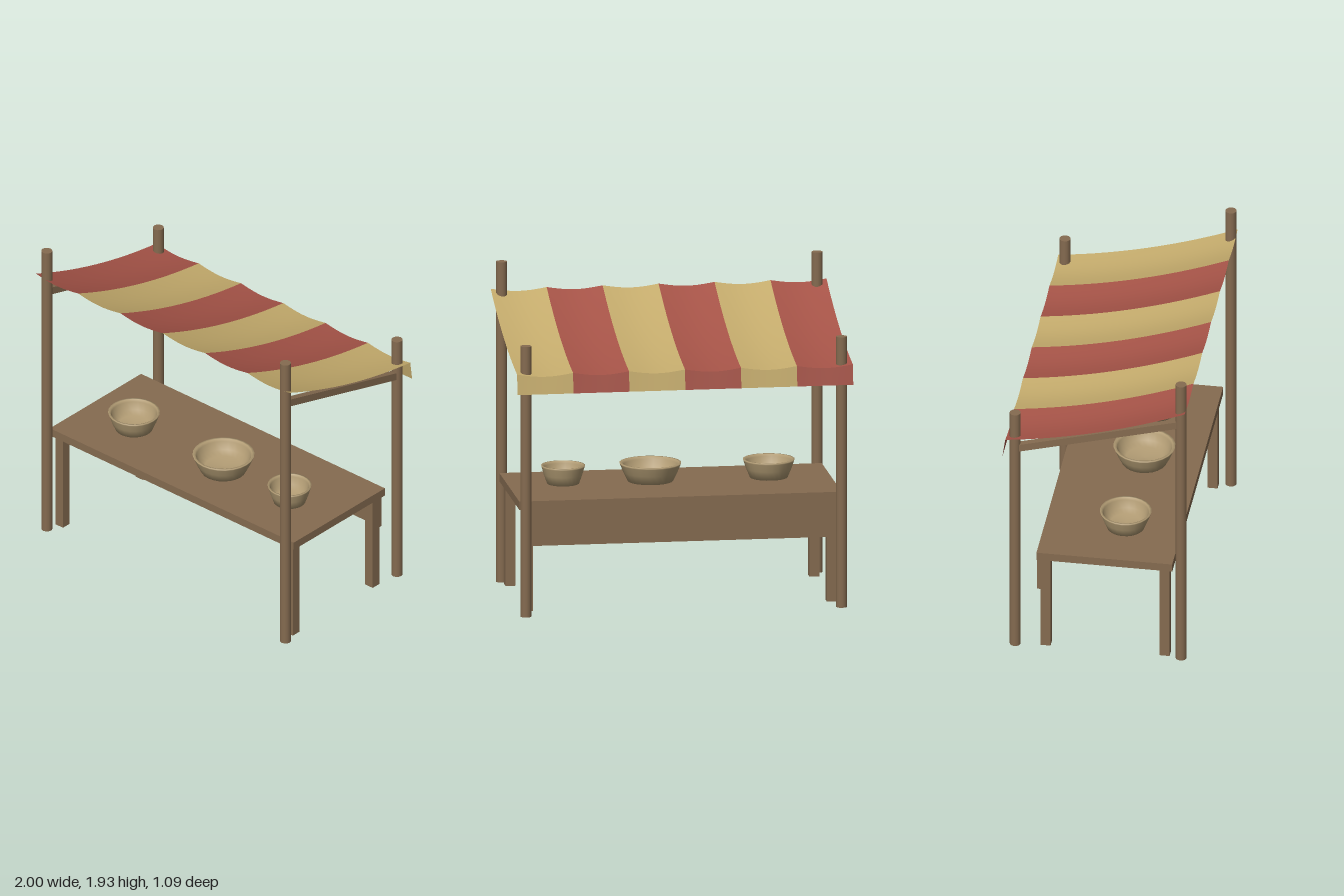
import * as THREE from 'three';

const mat = (name, color, extra = {}) => {
  const m = new THREE.MeshStandardMaterial({ color, ...extra });
  m.name = name;
  return m;
};

export function createModel() {
  const group = new THREE.Group();
  const wood = mat('brown wood', 0x856b50);
  const red = mat('red cloth', 0xa55347, { side: THREE.DoubleSide });
  const cream = mat('cream cloth', 0xc4ab6c, { side: THREE.DoubleSide });
  const clay = mat('pale bowl', 0xb29c74);

  const add = (name, geo, material, x = 0, y = 0, z = 0) => {
    const mesh = new THREE.Mesh(geo, material);
    mesh.name = name;
    mesh.position.set(x, y, z);
    group.add(mesh);
    return mesh;
  };
  const box = (name, w, h, d, x, y, z) => add(name, new THREE.BoxGeometry(w, h, d), wood, x, y, z);

  // Posts, sloping side rails and table legs, mirrored left and right
  for (const s of [-1, 1]) {
    add('frontPost', new THREE.CylinderGeometry(0.033, 0.033, 1.93, 12), wood, s * 0.94, 0.965, 0.51);
    add('backPost', new THREE.CylinderGeometry(0.033, 0.033, 1.63, 12), wood, s * 0.94, 0.815, -0.48);
    const dy = 0.27, dz = 0.99;
    const rail = box('sideRail', 0.04, 0.045, Math.hypot(dy, dz), s * 0.94, 1.52, 0.015);
    rail.rotation.x = -Math.atan2(dy, dz);
    box('frontLeg', 0.06, 0.62, 0.06, s * 0.905, 0.31, 0.41);
    box('backLeg', 0.06, 0.62, 0.06, s * 0.905, 0.31, -0.3);
  }

  // Table top and back panel
  box('tableTop', 1.92, 0.05, 0.81, 0, 0.64, 0.055);
  box('backPanel', 1.87, 0.22, 0.02, 0, 0.505, -0.34);

  // Sagging striped canopy, scalloped between the stripe edges
  const stripes = 6, width = 2 / stripes, dip = 0.018;
  const canopyPoint = (u, t, x0) => {
    const y = 1.47 + 0.29 * t - 0.16 * t * (1 - t) - dip * Math.sin(Math.PI * u);
    return [x0 + u * width, y, -0.53 + 1.07 * t];
  };
  // Valance hangs from the back edge down to a straight hem
  const valancePoint = (u, t, x0) => {
    const top = canopyPoint(u, 0, x0);
    return [top[0], 1.35 + (top[1] - 1.35) * t, -0.547 + 0.017 * t];
  };
  const sheet = (point, x0, nu, nt) => {
    const geo = new THREE.PlaneGeometry(1, 1, nu, nt);
    const p = geo.attributes.position;
    for (let i = 0; i < p.count; i++) {
      // plane +y maps to the back edge so that the face points up
      p.setXYZ(i, ...point(p.getX(i) + 0.5, 0.5 - p.getY(i), x0));
    }
    geo.computeVertexNormals();
    return geo;
  };
  for (let i = 0; i < stripes; i++) {
    const x0 = -1 + i * width;
    const cloth = i % 2 ? cream : red;
    add('canopyStripe', sheet(canopyPoint, x0, 10, 14), cloth);
    add('valanceStripe', sheet((u, t, x) => valancePoint(u, 1 - t, x), x0, 10, 2), cloth);
  }

  // Hollow bowls on the table
  const bowl = (x, r) => {
    const profile = [
      [0, 0], [0.73 * r, 0], [0.88 * r, 0.055], [0.98 * r, 0.1], [r, 0.11],
      [0.92 * r, 0.11], [0.88 * r, 0.095], [0.78 * r, 0.05], [0.6 * r, 0.025], [0, 0.02],
    ].map(([a, b]) => new THREE.Vector2(a, b));
    add('bowl', new THREE.LatheGeometry(profile, 24), clay, x, 0.665, 0.125);
  };
  bowl(-0.595, 0.153);
  bowl(0.11, 0.183);
  bowl(0.63, 0.13);

  return group;
}
